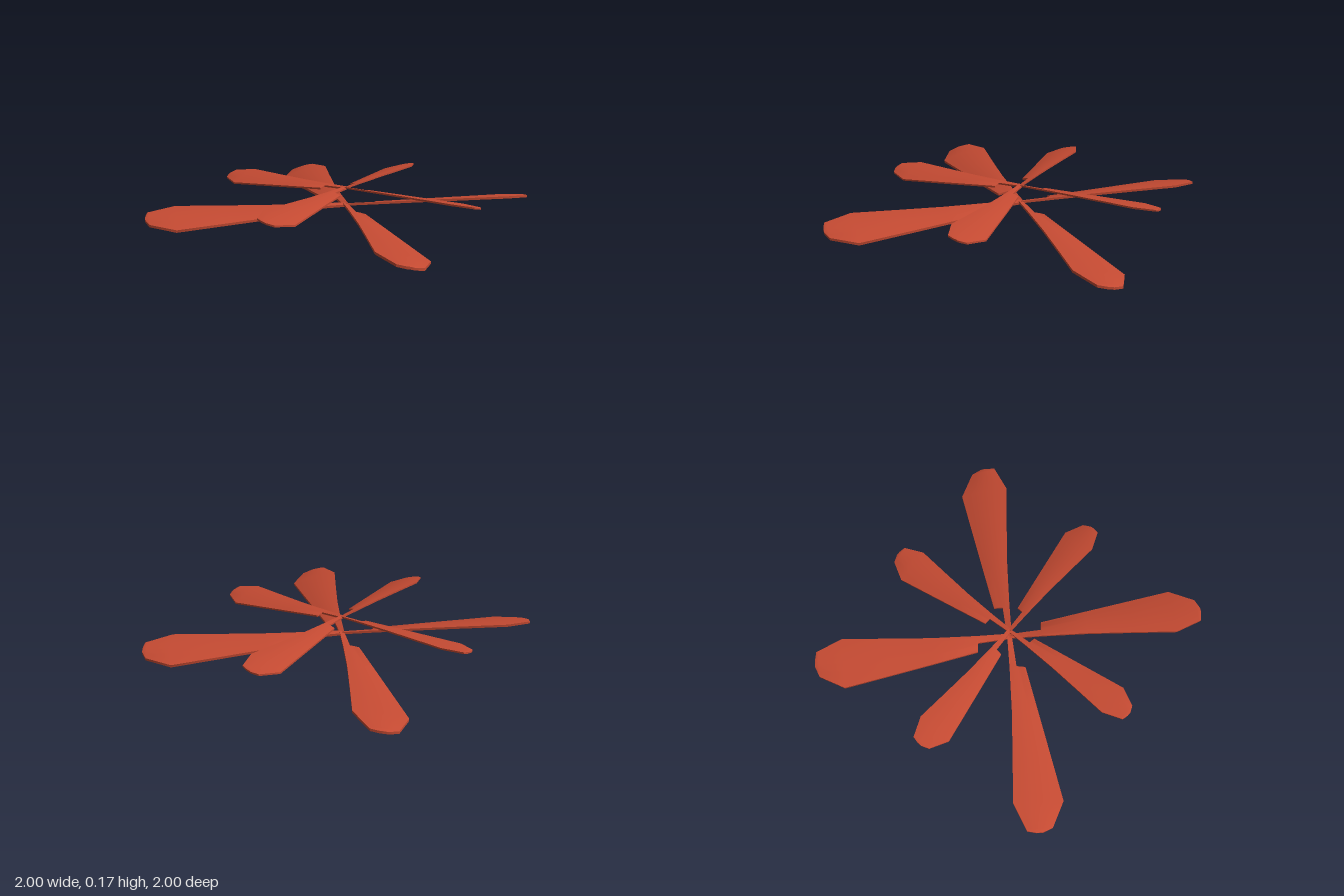
import * as THREE from 'three';
import { toCreasedNormals } from 'three/addons/utils/BufferGeometryUtils.js';

const PITCH = 0.23, CAMBER = 0.01, HALF_THICKNESS = 0.006, STEPS = 6;

// Blade outline along +x: [distance from centre, low edge z, high edge z]
const STATIONS = [
  [0, -0.012, 0.012],
  [0.163, -0.022, 0.014],
  [0.168, -0.067, 0.014],
  [0.4, -0.109, 0.022],
  [0.63, -0.15, 0.038],
  [0.855, -0.19, 0.055],
  [0.98, -0.125, 0.004],
  [0.99, -0.1, 0],
  [1, -0.075, -0.045],
];

// Thin, pitched and slightly arched blade lofted through its stations
function bladeGeometry() {
  const positions = [], index = [];
  const ring = 2 * (STEPS + 1);
  for (const [x, low, high] of STATIONS) {
    const width = high - low;
    for (let k = 0; k < ring; k++) {
      const top = k <= STEPS;
      const u = (top ? k : ring - 1 - k) / STEPS;
      const z = low + width * u;
      const arch = CAMBER * (width / 0.24) * 4 * u * (1 - u);
      positions.push(x, PITCH * z + arch + (top ? 1 : -1) * HALF_THICKNESS, z);
    }
  }
  for (let i = 0; i < STATIONS.length - 1; i++) {
    for (let j = 0; j < ring; j++) {
      const a = i * ring + j, b = i * ring + (j + 1) % ring;
      index.push(a, b, a + ring, b, b + ring, a + ring);
    }
  }
  // End caps, as strips between the upper and lower skins
  const last = (STATIONS.length - 1) * ring;
  for (let j = 0; j < STEPS; j++) {
    const p = j, q = j + 1, r = ring - 2 - j, s = ring - 1 - j;
    index.push(p, r, q, p, s, r);
    index.push(last + p, last + q, last + r, last + p, last + r, last + s);
  }
  const geometry = new THREE.BufferGeometry();
  geometry.setAttribute('position', new THREE.Float32BufferAttribute(positions, 3));
  geometry.setIndex(index);
  return toCreasedNormals(geometry, 0.7);
}

export function createModel() {
  const model = new THREE.Group();
  const material = new THREE.MeshStandardMaterial({ color: 0xc44a32 });
  const geometry = bladeGeometry();

  // Four crossed blades, leaning slightly to one side
  function addRotor(name, size, height, turn) {
    const rotor = new THREE.Group();
    rotor.name = name;
    for (let i = 0; i < 4; i++) {
      const blade = new THREE.Mesh(geometry, material);
      blade.name = 'blade';
      blade.rotation.y = turn + i * Math.PI / 2;
      blade.scale.setScalar(size);
      rotor.add(blade);
    }
    rotor.position.y = height;
    rotor.rotation.set(-0.01, 0, -0.01);
    model.add(rotor);
  }

  addRotor('lowerRotor', 1, 0.057, 0);
  addRotor('upperRotor', 0.725, 0.145, Math.PI / 4);
  return model;
}
